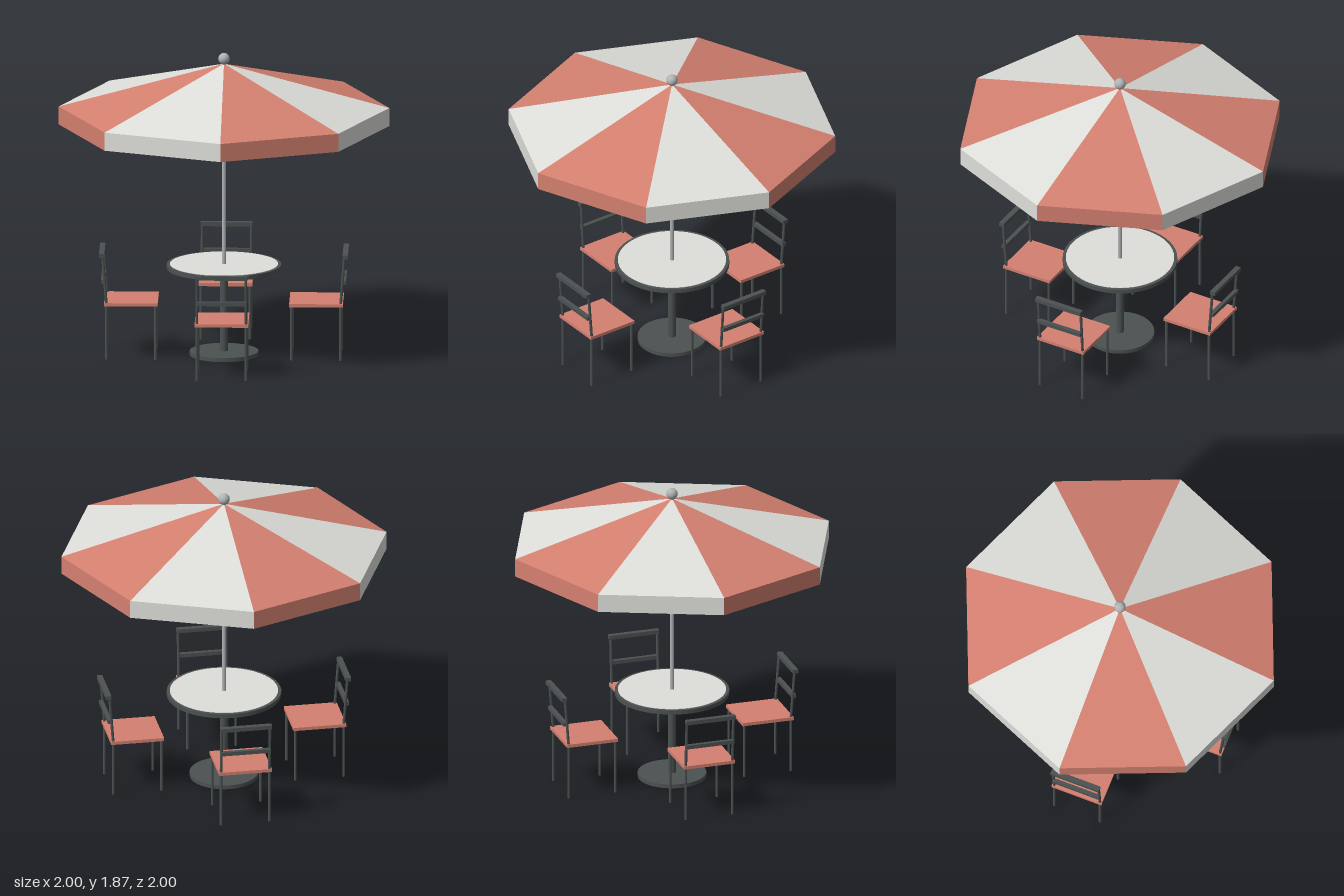
import * as THREE from 'three';

const mat = (name, color) => {
  const m = new THREE.MeshStandardMaterial({ color });
  m.name = name;
  return m;
};

export function createModel() {
  const red = mat('terracotta fabric', 0xd48070);
  const white = mat('pale grey', 0xdededa);
  const dark = mat('dark metal', 0x4b5251);
  const steel = mat('steel', 0xb0b4b5);
  const redCloth = mat('terracotta canopy', 0xd48070);
  const whiteCloth = mat('pale canopy', 0xdededa);
  redCloth.side = whiteCloth.side = THREE.DoubleSide;

  const model = new THREE.Group();
  model.name = 'parasolTableSet';

  const add = (parent, name, geometry, material, x = 0, y = 0, z = 0) => {
    const mesh = new THREE.Mesh(geometry, material);
    mesh.name = name;
    mesh.position.set(x, y, z);
    parent.add(mesh);
    return mesh;
  };

  // Upright cylinder between two heights
  const disc = (parent, name, r, y0, y1, material, sides = 48) =>
    add(parent, name, new THREE.CylinderGeometry(r, r, y1 - y0, sides), material, 0, (y0 + y1) / 2, 0);

  // Round rod between two points
  const rod = (parent, name, a, b, r, material) => {
    const from = new THREE.Vector3(...a);
    const dir = new THREE.Vector3(...b).sub(from);
    const mesh = add(parent, name, new THREE.CylinderGeometry(r, r, dir.length(), 10), material);
    mesh.position.copy(from).addScaledVector(dir, 0.5);
    mesh.quaternion.setFromUnitVectors(new THREE.Vector3(0, 1, 0), dir.normalize());
    return mesh;
  };

  // Table
  const table = new THREE.Group();
  table.name = 'table';
  model.add(table);
  disc(table, 'tableBase', 0.208, 0, 0.025, dark);
  disc(table, 'tableColumn', 0.024, 0.025, 0.536, dark, 20);
  disc(table, 'tableTop', 0.347, 0.536, 0.562, dark);
  disc(table, 'tableSurface', 0.328, 0.56, 0.565, white);

  // Parasol pole, finial and struts
  const parasol = new THREE.Group();
  parasol.name = 'parasol';
  model.add(parasol);
  disc(parasol, 'pole', 0.0135, 0.55, 1.805, steel, 20);
  add(parasol, 'finial', new THREE.SphereGeometry(0.035, 24, 16), steel, 0, 1.836, 0);
  for (let i = 0; i < 8; i++) {
    const a = (i * Math.PI) / 4, c = Math.cos(a), s = Math.sin(a);
    rod(parasol, 'strut', [0.005 * c, 1.342, 0.005 * s], [0.56 * c, 1.648, 0.56 * s], 0.006, steel);
  }

  // Canopy: eight alternating panels, each a slope and a hanging valance
  const APEX = 1.805, RIM = 1.535, HEM = 1.423;
  for (let i = 0; i < 8; i++) {
    const corner = (k, y) => [Math.cos((k * Math.PI) / 4), y, Math.sin((k * Math.PI) / 4)];
    const a = corner(i, RIM), b = corner(i + 1, RIM);
    const a2 = corner(i, HEM), b2 = corner(i + 1, HEM);
    const panel = new THREE.BufferGeometry();
    const points = [[0, APEX, 0], b, a, a, b, b2, a, b2, a2];
    panel.setAttribute('position', new THREE.Float32BufferAttribute(points.flat(), 3));
    panel.computeVertexNormals();
    add(parasol, 'canopyPanel', panel, i % 2 ? whiteCloth : redCloth);
  }

  // Chair with its back towards +z
  const makeChair = () => {
    const chair = new THREE.Group();
    chair.name = 'chair';
    const L = 0.1485;
    add(chair, 'seat', new THREE.BoxGeometry(0.325, 0.02, 0.325), red, 0, 0.342, 0);
    for (const side of [-1, 1]) {
      rod(chair, 'frontLeg', [side * L, 0, -L], [side * L, 0.336, -L], 0.0085, dark);
      rod(chair, 'backLeg', [side * L, 0, L], [side * L, 0.345, L], 0.0085, dark);
      rod(chair, 'backPost', [side * L, 0.34, L], [side * L, 0.645, 0.172], 0.0085, dark);
    }
    add(chair, 'topRail', new THREE.BoxGeometry(0.315, 0.025, 0.033), dark, 0, 0.643, 0.177);
    add(chair, 'middleRail', new THREE.BoxGeometry(0.302, 0.024, 0.025), dark, 0, 0.481, 0.169);
    return chair;
  };

  // Four chairs on the diagonals
  for (let i = 0; i < 4; i++) {
    const angle = Math.PI / 4 + (i * Math.PI) / 2;
    const chair = makeChair();
    chair.position.set(0.56 * Math.sin(angle), 0, 0.56 * Math.cos(angle));
    chair.rotation.y = angle;
    model.add(chair);
  }

  return model;
}
